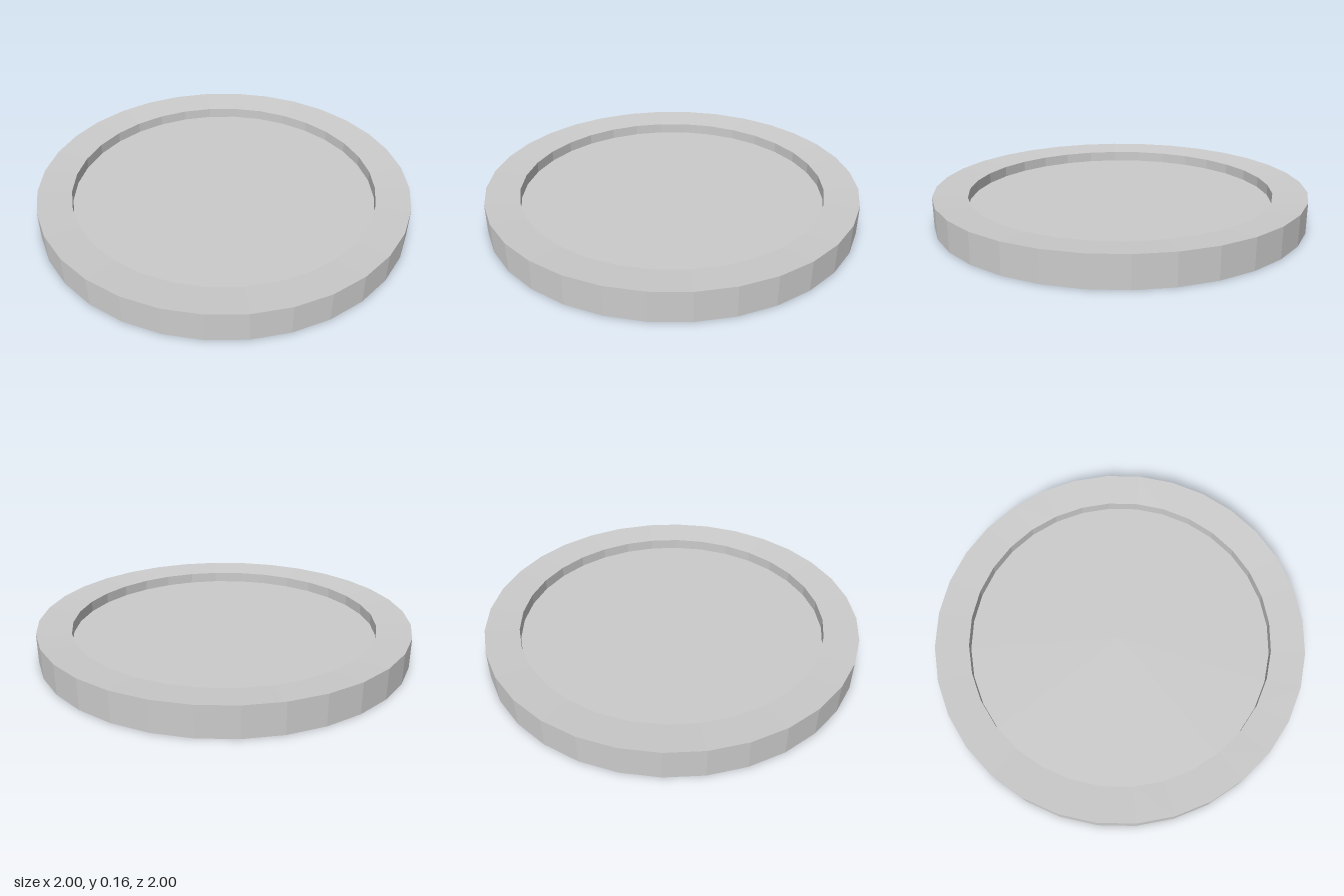
import * as THREE from 'three';

const SIDES = 32;
const HEIGHT = 0.16;
const MID = HEIGHT / 2;
const OUTER = 1;
const INNER = 0.82;
const LIP_DROP = 0.015; // how far the rim dips towards its inner edge
const PANEL = 0.014; // thickness of the recessed panel

export function createModel() {
  const group = new THREE.Group();
  group.name = 'rimmedDisc';
  const material = new THREE.MeshStandardMaterial({ color: 0xcccccc, flatShading: true });

  // Raised rim, the same above and below, sloping gently inwards
  const profile = [
    [INNER, MID - PANEL / 2],
    [INNER, LIP_DROP],
    [OUTER, 0],
    [OUTER, HEIGHT],
    [INNER, HEIGHT - LIP_DROP],
    [INNER, MID + PANEL / 2],
  ].map(([r, y]) => new THREE.Vector2(r, y));
  const rim = new THREE.Mesh(new THREE.LatheGeometry(profile, SIDES), material);
  rim.name = 'rim';
  group.add(rim);

  // Thin flat panel recessed between both faces
  const panel = new THREE.Mesh(new THREE.CylinderGeometry(INNER, INNER, PANEL, SIDES), material);
  panel.name = 'recessedPanel';
  panel.position.y = MID;
  group.add(panel);

  return group;
}
